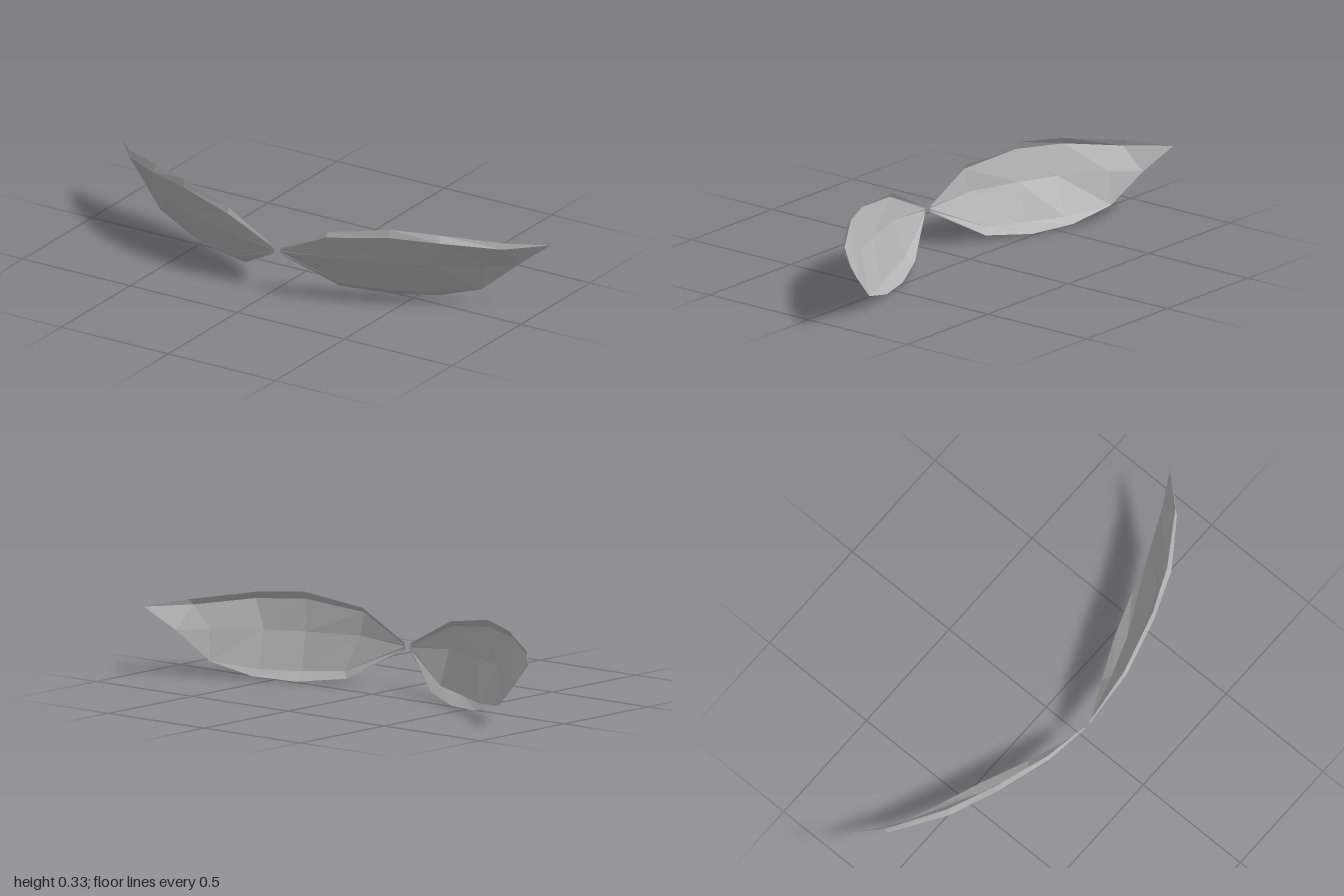
import * as THREE from 'three';

// Cross-sections from the inner tip to the outer tip, each from the top rim down to the bottom rim
const tip = [1, 0.26, -0.215];
const heel = [0.75, 0.056, -0.105];
const SECTIONS = [
  [[0.015, 0.175, 0.21], [0.015, 0.167, 0.212], [0.015, 0.16, 0.213], [0.015, 0.152, 0.213], [0.015, 0.145, 0.213]],
  [[0.23, 0.29, 0.205], [0.23, 0.27, 0.216], [0.23, 0.18, 0.195], [0.25, 0.046, 0.122], [0.22, 0.022, 0.098]],
  [[0.48, 0.334, 0.14], [0.475, 0.303, 0.154], [0.45, 0.18, 0.12], [0.42, 0.035, 0.06], [0.405, 0, 0.01]],
  [[0.66, 0.322, 0.06], [0.67, 0.294, 0.074], [0.61, 0.18, 0.053], [0.57, 0.034, -0.018], [0.58, 0.01, -0.052]],
  [[0.88, 0.286, -0.085], [0.87, 0.264, -0.068], [0.785, 0.178, -0.07], heel, heel],
  [tip, tip, [0.885, 0.17, -0.155], heel, heel],
];

// Thin open shell skinned over the cross-sections; side is 1 for left and -1 for right
function shellGeometry(side) {
  const positions = [];
  const addTriangle = (a, b, c) => {
    if (a === b || b === c || a === c) return;
    const corners = side > 0 ? [a, b, c] : [a, c, b];
    for (const [x, y, z] of corners) positions.push(x * side, y, z);
  };
  for (let i = 0; i < SECTIONS.length - 1; i++) {
    const near = SECTIONS[i], far = SECTIONS[i + 1];
    for (let j = 0; j < near.length - 1; j++) {
      addTriangle(near[j], near[j + 1], far[j + 1]);
      addTriangle(near[j], far[j + 1], far[j]);
    }
  }
  const geometry = new THREE.BufferGeometry();
  geometry.setAttribute('position', new THREE.Float32BufferAttribute(positions, 3));
  geometry.computeVertexNormals();
  return geometry;
}

export function createModel() {
  const group = new THREE.Group();
  group.name = 'lensPair';
  const grey = new THREE.MeshStandardMaterial({ color: 0xb0b0b0, flatShading: true, side: THREE.DoubleSide });
  grey.name = 'grey';
  // Mirrored pair of swept-back lenses
  for (const [name, side] of [['leftLens', 1], ['rightLens', -1]]) {
    const lens = new THREE.Mesh(shellGeometry(side), grey);
    lens.name = name;
    group.add(lens);
  }
  return group;
}
